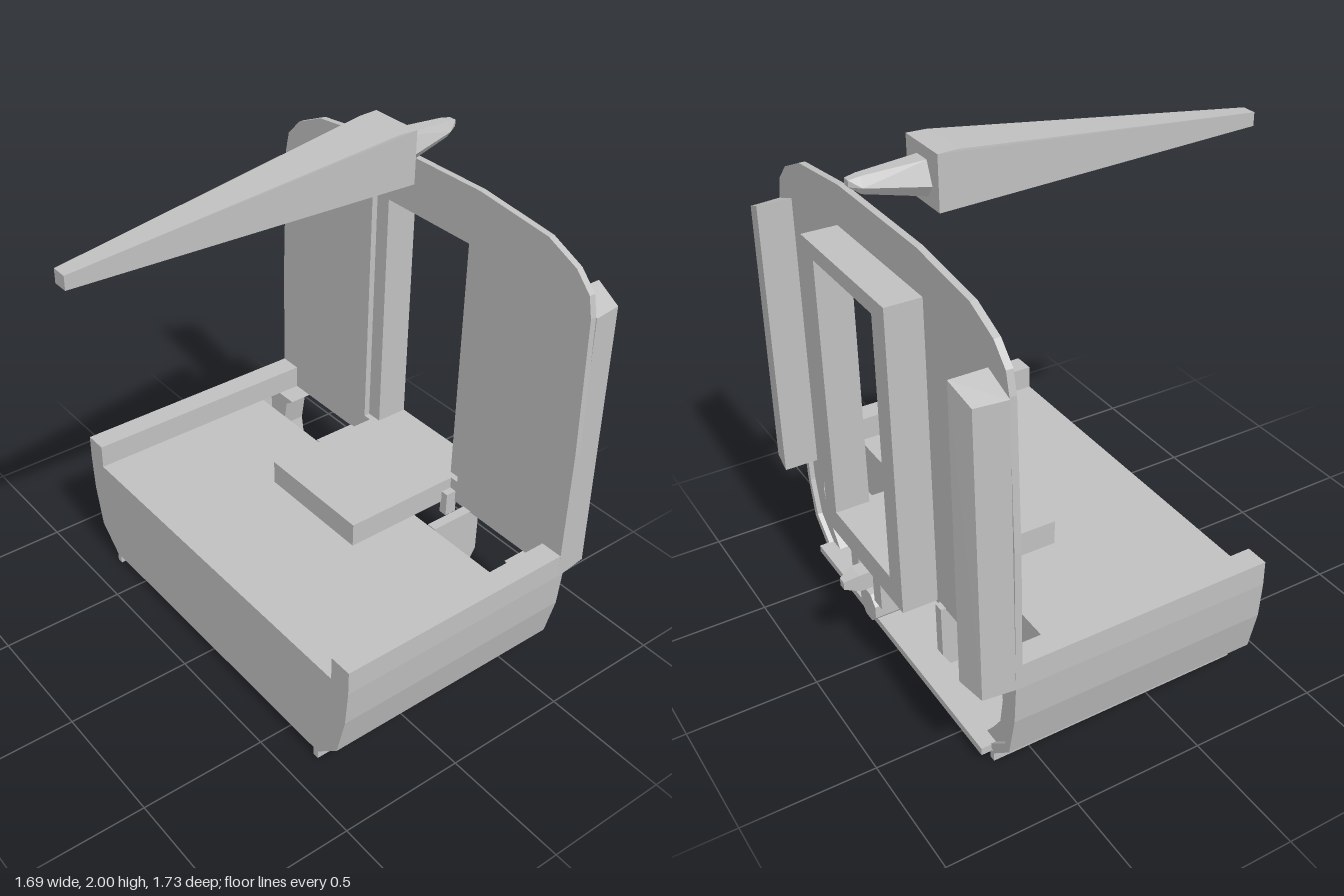
import * as THREE from 'three';
import { ConvexGeometry } from 'three/addons/geometries/ConvexGeometry.js';

export function createModel() {
  const model = new THREE.Group();
  const grey = new THREE.MeshStandardMaterial({ color: 0xc0c0c0 });
  grey.name = 'plain grey';

  const add = (name, geometry) => {
    const mesh = new THREE.Mesh(geometry, grey);
    mesh.name = name;
    model.add(mesh);
    return mesh;
  };
  // Box given by its limits on each axis
  const box = (name, x0, x1, y0, y1, z0, z1) => {
    const g = new THREE.BoxGeometry(x1 - x0, y1 - y0, z1 - z0);
    return add(name, g.translate((x0 + x1) / 2, (y0 + y1) / 2, (z0 + z1) / 2));
  };
  const toPoints = (list) => list.map(([x, y]) => new THREE.Vector2(x, y));
  // Cross-section in x and y, extruded between two z positions
  const slab = (name, list, z0, z1, hole) => {
    const shape = new THREE.Shape(toPoints(list));
    if (hole) shape.holes.push(new THREE.Path(toPoints(hole)));
    const g = new THREE.ExtrudeGeometry(shape, { depth: z1 - z0, bevelEnabled: false });
    return add(name, g.translate(0, 0, z0));
  };
  const flip = (list) => list.map(([x, y]) => [-x, y]).reverse();
  const symmetric = (half) => [...half, ...flip(half)];
  const rect = (w, y0, y1) => [[-w, y0], [w, y0], [w, y1], [-w, y1]];
  // Solid skin around cross-section rings
  const hull = (name, points) =>
    add(name, new ConvexGeometry(points.map((p) => new THREE.Vector3(...p))));

  // Lower body with raised side rails
  const outer = [[0.685, 0.035], [0.79, 0.13], [0.83, 0.3], [0.842, 0.45], [0.842, 0.547]];
  slab('lowerBody', symmetric([...outer, [0.75, 0.547], [0.75, 0.45]]), -0.43, 0.38);

  // Upright end wall with doorway
  slab('endWall', symmetric([
    [0.842, 0.45], [0.845, 1.0], [0.83, 1.55], [0.812, 1.63], [0.745, 1.7], [0.61, 1.76], [0.28, 1.797],
  ]), -0.64, -0.615, rect(0.285, 0.548, 1.58));

  // Doorway frame behind the wall
  slab('doorFrame', rect(0.31, 0.45, 1.64), -0.775, -0.64, rect(0.22, 0.548, 1.58));

  // Raised block on the deck in front of the doorway
  box('deckBlock', -0.25, 0.25, 0.45, 0.548, -0.62, -0.12);

  // Floor under the open rear bay
  box('rearFloor', -0.67, 0.67, 0.035, 0.065, -0.68, -0.43);

  for (const s of [1, -1]) {
    const side = (list) => (s > 0 ? list : flip(list));
    const sideBox = (name, x0, x1, ...rest) =>
      box(name, Math.min(s * x0, s * x1), Math.max(s * x0, s * x1), ...rest);

    // Thin side shell of the rear bay, with rail on top
    slab('sideShell', side([
      ...outer, [0.75, 0.547], [0.75, 0.45], [0.815, 0.45], [0.805, 0.3], [0.765, 0.15], [0.66, 0.06],
    ]), -0.64, -0.43);
    // Curved rib inside the shell
    slab('shellRib', side([
      [0.6, 0.06], [0.68, 0.06], [0.775, 0.15], [0.81, 0.3], [0.82, 0.45],
      [0.66, 0.45], [0.7, 0.42], [0.72, 0.3], [0.7, 0.19], [0.65, 0.12],
    ]), -0.62, -0.52);
    sideBox('footRail', 0.66, 0.685, 0, 0.04, -0.64, 0.38);

    // Corner pillar on the back of the wall
    const plan = [[0.71, -0.64], [0.842, -0.64], [0.828, -0.757], [0.71, -0.775]];
    hull('cornerPillar', plan.flatMap(([x, z]) => [
      [s * x, 0.452, z],
      [s * (x > 0.75 ? x - 0.008 : x), x > 0.75 ? 1.545 : 1.59, z],
    ]));

    // Hanging bracket with a bevelled foot
    hull('hangingBracket', [0.33, 0.37].flatMap((x) => [
      [s * x, 0.455, -0.43], [s * x, 0.455, -0.66], [s * x, 0.25, -0.66],
      [s * x, 0.2, -0.63], [s * x, 0.2, -0.43],
    ]));
    sideBox('deckPost', 0.245, 0.28, 0.4, 0.5, -0.62, -0.57);
    sideBox('couplerCheek', 0.06, 0.12, 0.33, 0.455, -0.77, -0.64);
  }

  // Coupler: cross block, eight-sided buffer and pointed hook
  box('couplerBlock', -0.12, 0.12, 0.33, 0.45, -0.64, -0.58);
  const buffer = new THREE.CylinderGeometry(0.065, 0.065, 0.34, 8).toNonIndexed();
  buffer.rotateY(Math.PI / 8).rotateX(Math.PI / 2).translate(0, 0.27, -0.6);
  buffer.computeVertexNormals();
  add('couplerBuffer', buffer);
  const square = (w, y0, y1, z) => [[-w, y0, z], [w, y0, z], [w, y1, z], [-w, y1, z]];
  hull('couplerHook', [
    ...square(0.034, 0.37, 0.44, -0.62), ...square(0.034, 0.37, 0.44, -0.81),
    ...square(0.016, 0.388, 0.42, -0.865),
  ]);

  // Floating tapered spar above the wall
  hull('taperedSpar', [
    ...square(0.03, 1.8, 1.852, 0.865), ...square(0.103, 1.8, 2, -0.39),
    ...square(0.108, 1.8, 2, -0.465),
  ]);
  // Six-sided tail and its small tip
  const six = (w, top, mid, low, z) => [
    [-w / 2, top, z], [w / 2, top, z], [w, mid, z], [w / 2, low, z], [-w / 2, low, z], [-w, mid, z],
  ];
  const neck = six(0.036, 1.945, 1.91, 1.885, -0.69);
  hull('sparTail', [...six(0.066, 1.957, 1.875, 1.83, -0.46), ...neck]);
  hull('sparTip', [...neck, ...square(0.014, 1.915, 1.938, -0.73)]);

  return model;
}
